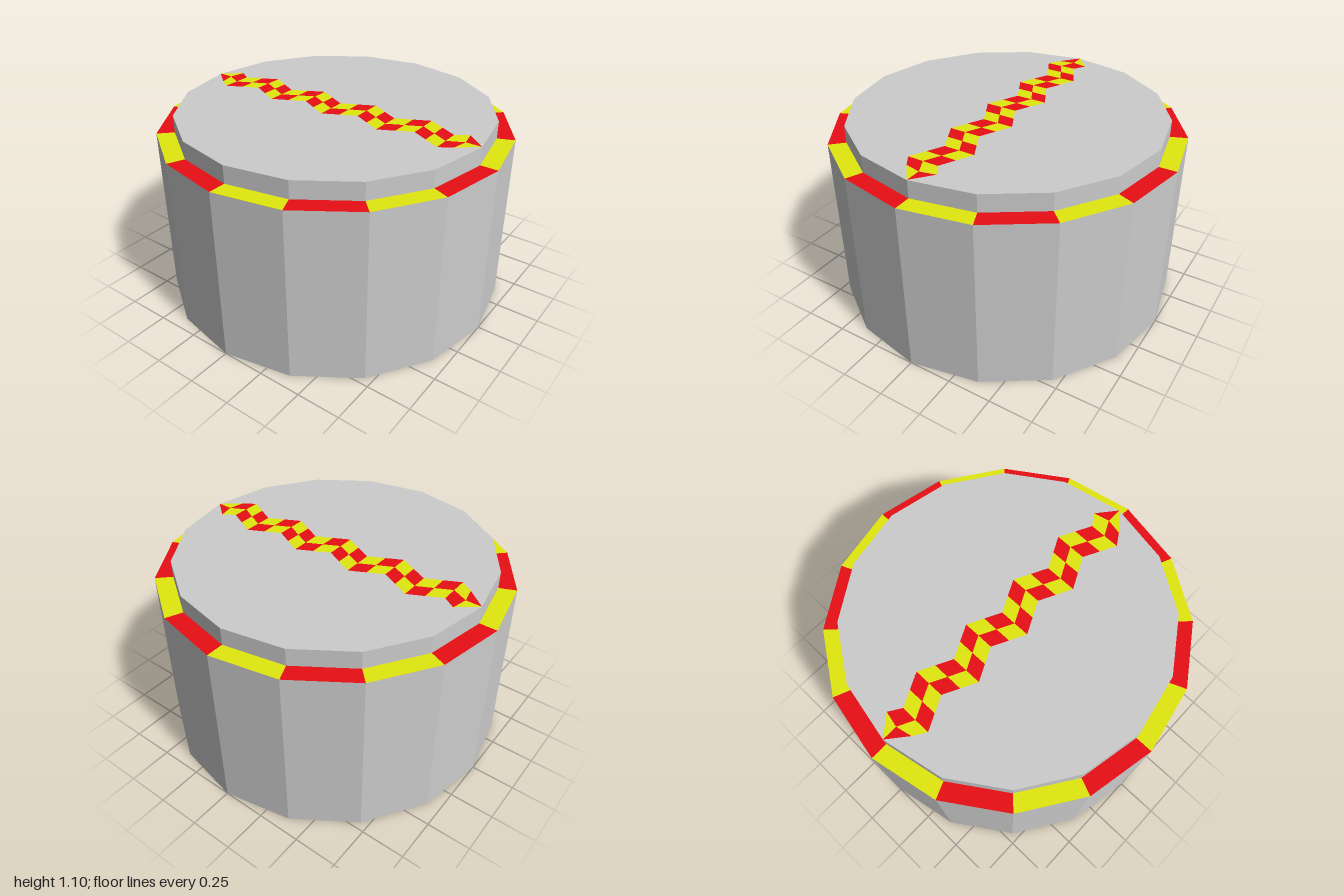
import * as THREE from 'three';
import { mergeGeometries } from 'three/addons/utils/BufferGeometryUtils.js';

const SIDES = 16, OUTER = 1, INNER = 0.9, WALL_TOP = 1, LID_TOP = 1.1;

const mat = (color) => new THREE.MeshStandardMaterial({ color, flatShading: true });
const v2 = (x, y) => new THREE.Vector2(x, y);

function addMesh(group, name, geometry, material) {
  const mesh = new THREE.Mesh(geometry, material);
  mesh.name = name;
  group.add(mesh);
}

// Flat tile facing up from four [x, z] corners: far left, near left, near right, far right
function tile(corners, y) {
  const g = new THREE.BufferGeometry();
  g.setAttribute('position', new THREE.Float32BufferAttribute(corners.flatMap(([x, z]) => [x, y, z]), 3));
  g.setIndex([0, 1, 2, 0, 2, 3]);
  g.computeVertexNormals();
  return g;
}

// Left edge, middle and right edge of the zigzag band at row line k (0 to 20)
function bandLine(k) {
  const z = -0.9 + k * 0.09;
  if (k === 0 || k === 20) return [[0, z], [0, z], [0, z]];
  if (k === 1 || k === 19) {
    const side = Math.sign(z) * 0.79;
    return [[-0.09, side], [0, z], [0.09, side]];
  }
  const shift = -0.045 * Math.cos((k - 2) * Math.PI / 2);
  return [[shift - 0.09, z], [shift, z], [shift + 0.09, z]];
}

export function createModel() {
  const group = new THREE.Group();
  const grey = mat(0xcccccc), red = mat(0xe80e14), yellow = mat(0xe1e80e);

  // Open shaft: inner wall, bottom rim and outer wall
  const profile = [v2(INNER, WALL_TOP), v2(INNER, 0), v2(OUTER, 0), v2(OUTER, WALL_TOP)];
  addMesh(group, 'shaftWall', new THREE.LatheGeometry(profile, SIDES), grey);

  // Lid standing above the shaft
  const lid = new THREE.CylinderGeometry(INNER, INNER, LID_TOP - WALL_TOP, SIDES);
  lid.translate(0, (LID_TOP + WALL_TOP) / 2, 0);
  addMesh(group, 'lid', lid, grey);

  // Top rim in alternating warning colours
  const rim = [[], []];
  const step = Math.PI * 2 / SIDES;
  for (let i = 0; i < SIDES; i++) {
    rim[i % 2].push(new THREE.LatheGeometry([v2(OUTER, WALL_TOP), v2(INNER, WALL_TOP)], 1, i * step, step));
  }
  addMesh(group, 'yellowRimPanels', mergeGeometries(rim[0]), yellow);
  addMesh(group, 'redRimPanels', mergeGeometries(rim[1]), red);

  // Zigzag seam of two checkered columns across the lid
  const seam = [[], []];
  for (let k = 0; k < 20; k++) {
    const far = bandLine(k), near = bandLine(k + 1);
    for (let c = 0; c < 2; c++) {
      seam[(k + c) % 2].push(tile([far[c], near[c], near[c + 1], far[c + 1]], LID_TOP + 0.002));
    }
  }
  addMesh(group, 'redSeamTiles', mergeGeometries(seam[0]), red);
  addMesh(group, 'yellowSeamTiles', mergeGeometries(seam[1]), yellow);

  return group;
}
